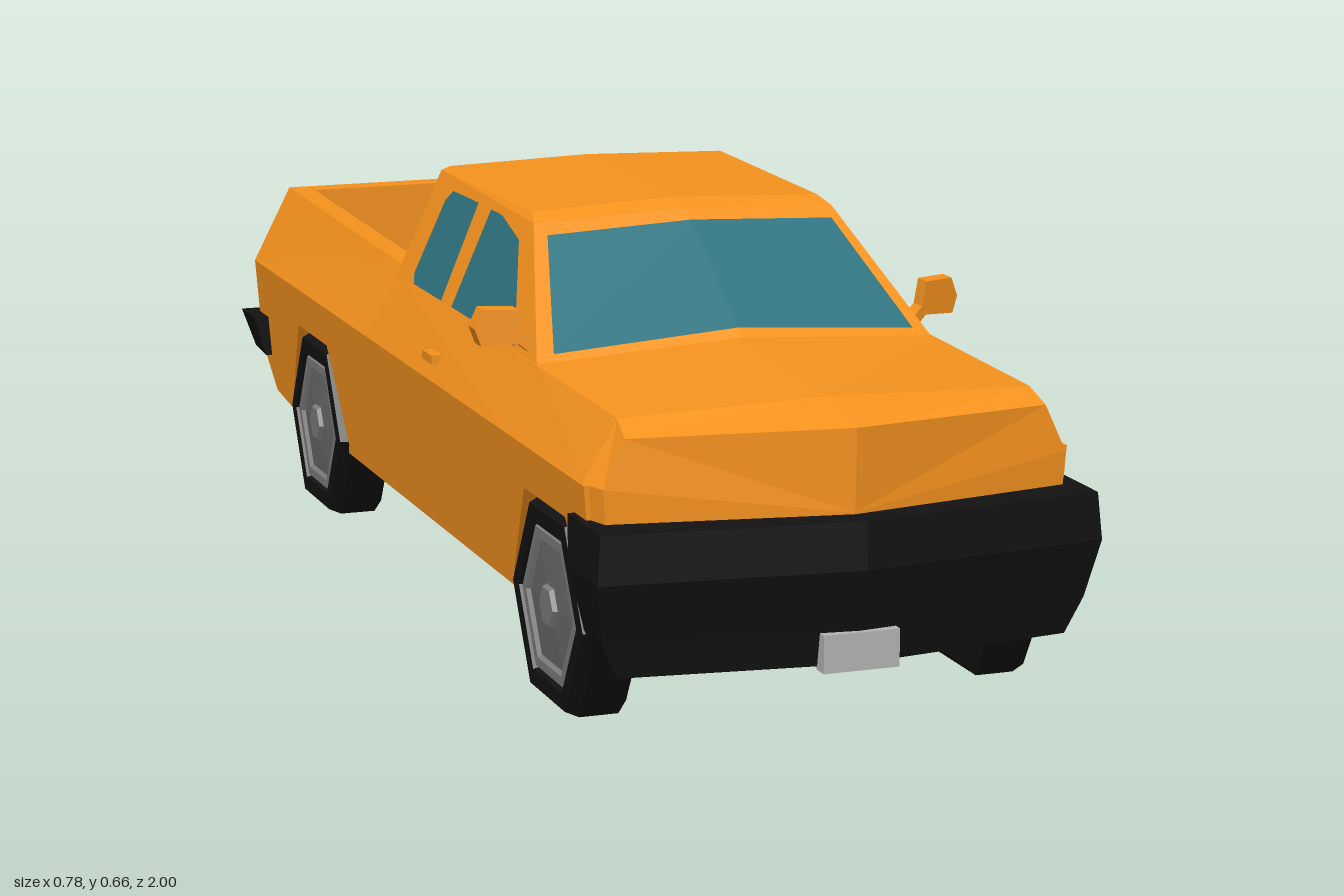
import * as THREE from 'three';

const mat = (color, side = THREE.FrontSide) => new THREE.MeshStandardMaterial({ color, flatShading: true, side });
const paint = mat(0xf7931e), black = mat(0x121212), rimGrey = mat(0x7c7c7c), discGrey = mat(0x6a6a6a);
const plateGrey = mat(0xb5b5b5), glass = mat(0x2f7480, THREE.DoubleSide);

function add(group, name, geometry, material) {
  const m = new THREE.Mesh(geometry, material);
  m.name = name;
  group.add(m);
  return m;
}

function box(x0, x1, y0, y1, z0, z1) {
  return new THREE.BoxGeometry(x1 - x0, y1 - y0, z1 - z0)
    .translate((x0 + x1) / 2, (y0 + y1) / 2, (z0 + z1) / 2);
}

function trianglesToGeometry(tris) {
  const g = new THREE.BufferGeometry();
  g.setAttribute('position', new THREE.Float32BufferAttribute(tris.flat(), 3));
  g.computeVertexNormals();
  return g;
}

// Half outline starting and ending on x = 0, mirrored into a closed ring
const ring = half => [...half, ...half.slice(1, -1).reverse().map(([x, y, z]) => [-x, y, z])];

// Solid skin over symmetric half outlines, with both ends closed
function loft(halves) {
  const rings = halves.map(ring), n = rings[0].length, tris = [];
  for (let i = 0; i < rings.length - 1; i++) {
    for (let j = 0; j < n; j++) {
      const k = (j + 1) % n;
      const a = rings[i][j], b = rings[i][k], c = rings[i + 1][k], d = rings[i + 1][j];
      tris.push(a, b, c, a, c, d);
    }
  }
  const cap = (h, flip) => {
    const p = h[0], q = h[h.length - 1], r = ring(h);
    const mid = p.map((v, i) => (v + q[i]) / 2);
    r.forEach((a, j) => {
      const b = r[(j + 1) % n];
      tris.push(mid, ...(flip ? [b, a] : [a, b]));
    });
  };
  cap(halves[0], true);
  cap(halves[halves.length - 1], false);
  return trianglesToGeometry(tris);
}

const shape = pts => new THREE.Shape(pts.map(p => new THREE.Vector2(...p)));

// Side outline given as (z, y), extruded across x0..x1
function sideExtrude(pts, x0, x1) {
  return new THREE.ExtrudeGeometry(shape(pts), { depth: x1 - x0, bevelEnabled: false })
    .rotateY(-Math.PI / 2).translate(x1, 0, 0);
}

function reshape(g, rule) {
  const p = g.attributes.position, v = new THREE.Vector3();
  for (let i = 0; i < p.count; i++) {
    rule(v.fromBufferAttribute(p, i));
    p.setXYZ(i, v.x, v.y, v.z);
  }
  g.computeVertexNormals();
  return g;
}

const AXLES = [0.67, -0.595], AXLE_Y = 0.146;

function makeWheel() {
  const w = new THREE.Group();
  w.name = 'wheel';
  const turn = pts => new THREE.LatheGeometry(pts.map(p => new THREE.Vector2(...p)), 6).toNonIndexed();
  add(w, 'tyre', turn([[0, 0], [0.15, 0], [0.168, 0.015], [0.168, 0.075], [0.158, 0.095], [0.13, 0.095], [0.126, 0.084]]), black);
  add(w, 'rim', turn([[0.128, 0.084], [0.122, 0.092], [0.106, 0.092], [0.1, 0.086]]), rimGrey);
  add(w, 'wheelDisc', turn([[0.104, 0.086], [0.036, 0.09], [0, 0.09]]), discGrey);
  add(w, 'hub', turn([[0.036, 0.088], [0.03, 0.097], [0, 0.097]]), rimGrey);
  return w;
}

export function createModel() {
  const truck = new THREE.Group();
  truck.name = 'pickupTruck';

  // Floor, cab core, bed bulkhead and tailgate in one side outline
  add(truck, 'floorAndTailgate', sideExtrude([
    [0.86, 0.125], [-0.89, 0.143], [-0.965, 0.215], [-0.965, 0.5], [-0.92, 0.5], [-0.92, 0.24],
    [-0.27, 0.24], [-0.27, 0.485], [-0.232, 0.485], [-0.232, 0.37], [0.86, 0.37]], -0.268, 0.268), paint);

  // Lower sides with wheel arches
  const arch = cz => [[cz + 0.176, 0.13], [cz + 0.183, 0.146], [cz + 0.093, 0.302],
    [cz - 0.093, 0.302], [cz - 0.183, 0.146], [cz - 0.176, 0.13]];
  const lower = [[0.86, 0.127], ...arch(AXLES[0]), ...arch(AXLES[1]),
    [-0.89, 0.143], [-0.965, 0.215], [-0.965, 0.37], [0.86, 0.37]];
  for (const s of [1, -1]) {
    const g = s > 0 ? sideExtrude(lower, 0.268, 0.372) : sideExtrude(lower, -0.372, -0.268);
    reshape(g, v => { if (Math.abs(v.x) > 0.3) v.x -= s * (0.37 - v.y) * 0.08; });
    add(truck, 'lowerSide', g, paint);

    // Sloped bed wall whose rim rises to the rear
    const wall = new THREE.ExtrudeGeometry(
      shape([[0.268, 0.37], [0.372, 0.37], [0.305, 0.485], [0.268, 0.485]].map(([x, y]) => [s * x, y])),
      { depth: 0.73, bevelEnabled: false }).translate(0, 0, -0.965);
    reshape(wall, v => { if (v.y > 0.4 && v.z < -0.5) v.y += 0.015; });
    add(truck, 'bedWall', wall, paint);

    // Wheel housing inside the bed
    const housing = [[-0.42, 0.235], [-0.47, 0.32], [-0.73, 0.32], [-0.78, 0.235]];
    add(truck, 'wheelHousing', s > 0 ? sideExtrude(housing, 0.21, 0.272) : sideExtrude(housing, -0.272, -0.21), paint);
  }
  add(truck, 'tailgateSeal', box(-0.266, 0.266, 0.24, 0.26, -0.925, -0.912), black);

  // Bonnet and cab waist, then the pointed nose
  const section = (z, w, s, ys, yc) => [[0, 0.37, z], [w, 0.37, z], [s, ys, z], [0, yc, z]];
  add(truck, 'bonnetAndWaist', loft([
    section(-0.232, 0.372, 0.317, 0.475, 0.475), section(0.5, 0.372, 0.32, 0.465, 0.487),
    section(0.845, 0.369, 0.317, 0.459, 0.467)]), paint);
  add(truck, 'nose', loft([
    [[0, 0.2, 0.845], [0.358, 0.2, 0.845], [0.369, 0.37, 0.845], [0.317, 0.459, 0.845], [0, 0.467, 0.845]],
    [[0, 0.2, 0.95], [0.345, 0.2, 0.89], [0.354, 0.37, 0.892], [0.322, 0.44, 0.89], [0, 0.445, 0.955]]]), paint);

  // Greenhouse and roof
  const sill = [[0, 0.485, 0.51], [0.32, 0.46, 0.5], [0.32, 0.47, -0.23], [0, 0.47, -0.23]];
  const eave = [[0, 0.645, 0.265], [0.246, 0.635, 0.265], [0.246, 0.645, -0.212], [0, 0.648, -0.212]];
  add(truck, 'cab', loft([sill, eave,
    [[0, 0.655, 0.22], [0.236, 0.647, 0.23], [0.236, 0.653, -0.195], [0, 0.66, -0.195]]]), paint);

  // Front and rear screens laid just over the cab faces
  const mix = (a, b, t) => a.map((v, i) => v + (b[i] - v) * t);
  const screen = (mid, corner, u, v0, v1, dy, dz) => {
    const at = (side, v) => {
      const c = mix(sill[mid], eave[mid], v), e = mix(sill[corner], eave[corner], v);
      const p = mix(c, e, Math.abs(side) * u);
      return [side < 0 ? -p[0] : p[0], p[1] + dy, p[2] + dz];
    };
    const tris = [];
    for (const [l, r] of [[-1, 0], [0, 1]]) {
      tris.push(at(l, v0), at(r, v0), at(r, v1), at(l, v0), at(r, v1), at(l, v1));
    }
    return trianglesToGeometry(tris);
  };
  add(truck, 'windscreen', screen(0, 1, 0.92, 0.07, 0.89, 0.004, 0.004), glass);
  add(truck, 'rearWindow', screen(3, 2, 0.9, 0.17, 0.9, 0, -0.004), glass);

  // Side windows, mirrors and handles
  const windows = {
    frontSideWindow: [[0.4, 0.475], [0.08, 0.475], [0.085, 0.628], [0.14, 0.628], [0.25, 0.608]],
    rearSideWindow: [[0.025, 0.475], [-0.125, 0.475], [-0.142, 0.49], [-0.132, 0.608], [-0.112, 0.626], [0.02, 0.628]],
  };
  const mirrorOutline = [[0.3, 0.462], [0.33, 0.488], [0.383, 0.484], [0.392, 0.51], [0.38, 0.54], [0.33, 0.54], [0.322, 0.502], [0.298, 0.48]];
  const mirrorGlass = [[0.335, 0.494], [0.38, 0.491], [0.385, 0.51], [0.376, 0.533], [0.335, 0.533]];
  for (const s of [1, -1]) {
    for (const [name, pts] of Object.entries(windows)) {
      const g = reshape(new THREE.ShapeGeometry(shape(pts)), v => {
        v.set(s * (0.324 - (v.y - 0.47) * 0.4286), v.y, v.x);
      });
      add(truck, name, g, glass);
    }
    const flip = pts => shape(pts.map(([x, y]) => [s * x, y]));
    const sweep = v => { v.z -= (Math.abs(v.x) - 0.3) * 0.35; };
    const housing = new THREE.ExtrudeGeometry(flip(mirrorOutline), { depth: 0.032, bevelEnabled: false }).translate(0, 0, 0.425);
    add(truck, 'wingMirror', reshape(housing, sweep), paint);
    add(truck, 'mirrorGlass', reshape(new THREE.ShapeGeometry(flip(mirrorGlass)).translate(0, 0, 0.422), sweep), glass);
    add(truck, 'doorHandle', box(-0.01, 0.01, 0.395, 0.409, 0.075, 0.125).translate(s * 0.359, 0, 0), paint);
  }

  // Bumpers and plates
  const bumperRing = (y, w, zf, zb) => [[0, y, zf], [w, y, zf - 0.045], [w, y, zb], [0, y, zb]];
  add(truck, 'frontBumper', loft([
    bumperRing(0.105, 0.345, 0.965, 0.865), bumperRing(0.16, 0.37, 0.975, 0.855),
    bumperRing(0.25, 0.385, 1, 0.83), bumperRing(0.32, 0.379, 0.995, 0.81)]), black);
  add(truck, 'rearBumper', loft([
    [[0, 0.205, -0.905], [0.37, 0.205, -0.905], [0.37, 0.21, -0.978], [0, 0.21, -0.98]],
    [[0, 0.275, -0.905], [0.39, 0.275, -0.905], [0.39, 0.275, -0.998], [0, 0.275, -1]]]), black);
  add(truck, 'frontPlate', box(-0.058, 0.058, 0.1, 0.156, 0.955, 0.982), plateGrey);
  add(truck, 'rearPlate', box(-0.055, 0.055, 0.213, 0.265, -0.999, -0.97), plateGrey);

  // Wheels and axles
  for (const z of AXLES) {
    for (const s of [1, -1]) {
      const wheel = makeWheel();
      wheel.position.set(s * 0.268, AXLE_Y, z);
      wheel.rotation.z = -s * Math.PI / 2;
      truck.add(wheel);
    }
    const axle = new THREE.CylinderGeometry(0.036, 0.036, 0.54, 6).rotateZ(Math.PI / 2).translate(0, AXLE_Y - 0.005, z);
    add(truck, 'axle', axle, black);
  }
  return truck;
}
